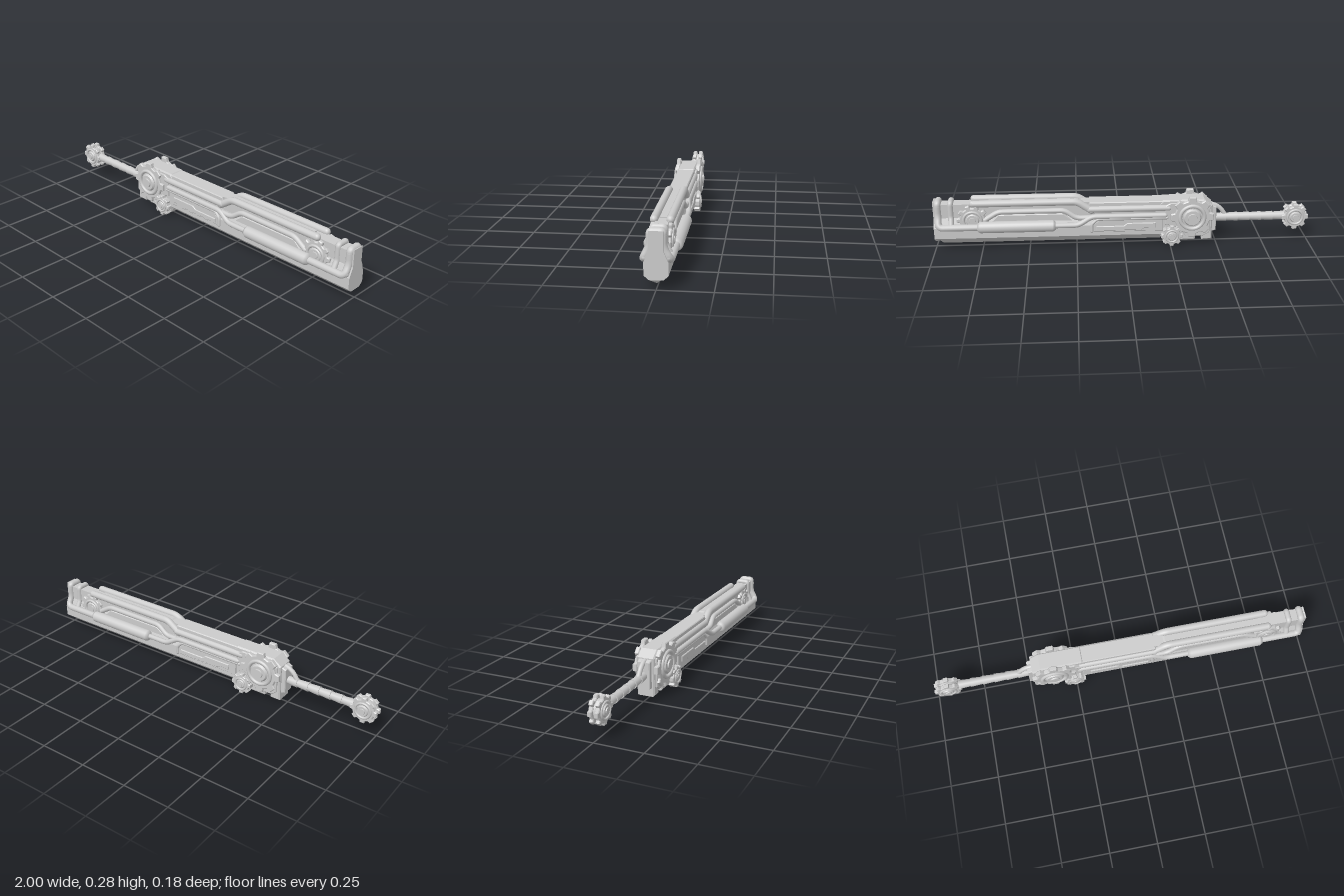
import * as THREE from 'three';

const mat = new THREE.MeshStandardMaterial({ color: 0xcccccc, side: THREE.DoubleSide });
const V = (x, y, z) => new THREE.Vector3(x, y, z);

function add(parent, name, geo, x = 0, y = 0, z = 0) {
  const m = new THREE.Mesh(geo, mat);
  m.name = name;
  m.position.set(x, y, z);
  parent.add(m);
  return m;
}

const polygon = pts => new THREE.Shape(pts.map(p => new THREE.Vector2(p[0], p[1])));

// Plate from an x/y outline, spanning z0..z1 with a small bevel
function plate(parent, name, pts, z0, z1, bevel = 0.004) {
  const geo = new THREE.ExtrudeGeometry(polygon(pts), {
    depth: z1 - z0 - 2 * bevel, bevelEnabled: bevel > 0,
    bevelSize: bevel, bevelOffset: -bevel, bevelThickness: bevel, bevelSegments: 1
  });
  return add(parent, name, geo, 0, 0, z0 + bevel);
}

// Pipe along straight runs joined by rounded corners, with domed ends
function pipe(parent, name, pts, r, bend = 0.025) {
  const path = new THREE.CurvePath();
  let from = pts[0];
  for (let i = 1; i < pts.length - 1; i++) {
    const a = pts[i - 1], b = pts[i], c = pts[i + 1];
    const d = Math.min(bend, a.distanceTo(b) * 0.45, b.distanceTo(c) * 0.45);
    const p = b.clone().add(a.clone().sub(b).setLength(d));
    const q = b.clone().add(c.clone().sub(b).setLength(d));
    path.add(new THREE.LineCurve3(from, p));
    path.add(new THREE.QuadraticBezierCurve3(p, b, q));
    from = q;
  }
  path.add(new THREE.LineCurve3(from, pts[pts.length - 1]));
  add(parent, name, new THREE.TubeGeometry(path, 120, r, 12, false));
  for (const e of [pts[0], pts[pts.length - 1]])
    add(parent, name + 'End', new THREE.SphereGeometry(r, 12, 8), e.x, e.y, e.z);
}

// Toothed wheel facing +z with a stepped hub; origin at its back face
function gear(name, r, thick, hub, teeth = 8) {
  const g = new THREE.Group();
  g.name = name;
  const pts = [];
  for (let i = 0; i < teeth; i++) {
    for (const [k, s] of [[-0.32, 0.82], [-0.2, 1], [0.2, 1], [0.32, 0.82]]) {
      const a = (i + k) / teeth * Math.PI * 2;
      pts.push([Math.cos(a) * r * s, Math.sin(a) * r * s]);
    }
  }
  plate(g, 'teeth', pts, 0, thick, Math.min(0.004, r * 0.05));
  add(g, 'rim', new THREE.TorusGeometry(r * 0.56, r * 0.09, 8, 32), 0, 0, thick);
  for (const [s, h] of [[0.42, 0.6], [0.24, 1]]) {
    const geo = new THREE.CylinderGeometry(r * s * 0.85, r * s, hub * h, 20).rotateX(Math.PI / 2);
    add(g, 'hub', geo, 0, 0, thick + hub * h / 2);
  }
  return g;
}

function placeGear(parent, g, x, y, z, s) {
  g.position.set(x, y, z * s);
  if (s < 0) g.rotation.y = Math.PI;
  parent.add(g);
}

export function createModel() {
  const root = new THREE.Group();
  root.name = 'mechanicalSword';

  // Blade: flared cross-section with a V-shaped edge, chamfered at the tip
  const half = [[0.032, 0.25], [0.032, 0.175], [0.054, 0.125], [0.054, 0.065], [0.031, 0.045]];
  const section = [...half, [0, 0.018], ...half.map(p => [-p[0], p[1]]).reverse()];
  const bladeGeo = new THREE.ExtrudeGeometry(polygon(section), { depth: 1.2, steps: 30, bevelEnabled: false });
  bladeGeo.rotateY(Math.PI / 2).translate(-0.2, 0, 0);
  const pos = bladeGeo.attributes.position;
  for (let i = 0; i < pos.count; i++) {
    if (pos.getX(i) < 0.99) continue;
    if (pos.getY(i) < 0.045) pos.setY(i, 0.045);
    if (pos.getY(i) > 0.24) pos.setY(i, 0.265);
  }
  bladeGeo.computeVertexNormals();
  add(root, 'blade', bladeGeo);

  // Spine cover over the rear half of the blade
  plate(root, 'spineCover', [[-0.22, 0.18], [0.15, 0.18], [0.19, 0.22], [0.18, 0.25], [-0.22, 0.25]], -0.045, 0.045);
  plate(root, 'spineRail', [[0.18, 0.22], [0.75, 0.22], [0.75, 0.255], [0.24, 0.255]], -0.02, 0.02);

  // Gear housing and its collar
  plate(root, 'housing', [[-0.475, 0.022], [-0.42, 0.022], [-0.42, 0.04], [-0.385, 0.04], [-0.385, 0.022],
    [-0.21, 0.022], [-0.19, 0.06], [-0.19, 0.235], [-0.21, 0.254], [-0.43, 0.254], [-0.475, 0.22]], -0.047, 0.047, 0.007);
  plate(root, 'collar', [[-0.498, 0.07], [-0.46, 0.06], [-0.46, 0.22], [-0.498, 0.205]], -0.034, 0.034);

  // Handle wrapped in overlapping sleeves
  const sleeves = 6, x0 = -0.87, len = 0.38 / sleeves;
  for (let i = 0; i < sleeves; i++) {
    const geo = new THREE.CylinderGeometry(0.02, 0.024, len, 16).rotateZ(-Math.PI / 2);
    add(root, 'handleSleeve', geo, x0 + len * (i + 0.5), 0.135, 0);
  }
  pipe(root, 'handleGuard', [V(-0.55, 0.145, 0), V(-0.525, 0.185, 0), V(-0.49, 0.208, 0), V(-0.45, 0.21, 0)], 0.012, 0.02);

  // Pommel: core wheel between two geared wheels
  add(root, 'pommelCore', new THREE.CylinderGeometry(0.052, 0.052, 0.04, 24).rotateX(Math.PI / 2), -0.928, 0.133, 0);

  for (const s of [1, -1]) {
    const P = (x, y, z) => V(x, y, z * s);
    const sidePlate = (name, pts, z0, z1) => plate(root, name, pts, s > 0 ? z0 : -z1, s > 0 ? z1 : -z0, 0.003);

    // Gears
    placeGear(root, gear('pommelGear', 0.072, 0.022, 0.013), -0.928, 0.133, 0.006, s);
    placeGear(root, gear('mainGear', 0.116, 0.024, 0.017), -0.364, 0.162, 0.045, s);
    placeGear(root, gear('smallGear', 0.058, 0.033, 0.007), -0.257, 0.058, 0.043, s);
    placeGear(root, gear('frontGear', 0.084, 0.02, 0.008, 10), 0.795, 0.165, 0.03, s);

    // Side armour on the housing
    sidePlate('housingPlate', [[-0.46, 0.07], [-0.43, 0.05], [-0.33, 0.05], [-0.3, 0.1], [-0.22, 0.12],
      [-0.22, 0.225], [-0.25, 0.24], [-0.43, 0.24], [-0.46, 0.215]], 0.04, 0.056);

    // Stepped rear panel with a raised inlay
    sidePlate('rearPanel', [[-0.21, 0.085], [0.16, 0.085], [0.16, 0.13], [0.13, 0.155], [-0.21, 0.155]], 0.035, 0.057);
    sidePlate('panelInlay', [[-0.17, 0.105], [-0.11, 0.105], [-0.09, 0.095], [0.145, 0.095], [0.145, 0.12],
      [0.0, 0.12], [-0.02, 0.135], [-0.17, 0.135]], 0.05, 0.063);
    pipe(root, 'panelRail', [P(-0.23, 0.158, 0.052), P(0.14, 0.158, 0.052), P(0.17, 0.13, 0.055), P(0.17, 0.09, 0.055)], 0.009, 0.012);

    // Upper pipe, stepping up over the front half
    pipe(root, 'rearPipe', [P(-0.24, 0.212, 0.043), P(0.18, 0.212, 0.043)], 0.018);
    pipe(root, 'upperPipe', [P(0.17, 0.205, 0.04), P(0.245, 0.255, 0.037), P(0.79, 0.255, 0.037)], 0.019);

    // Middle pipe ending at the front gear
    pipe(root, 'middlePipe', [P(0.18, 0.165, 0.045), P(0.25, 0.165, 0.045), P(0.31, 0.207, 0.038),
      P(0.66, 0.207, 0.038), P(0.73, 0.165, 0.043)], 0.014);
    sidePlate('middlePlate', [[0.27, 0.15], [0.7, 0.15], [0.66, 0.19], [0.32, 0.19]], 0.025, 0.044);

    // Pressure cylinder with its feed pipe
    pipe(root, 'feedPipe', [P(-0.22, 0.172, 0.05), P(0.17, 0.172, 0.05), P(0.24, 0.13, 0.06), P(0.38, 0.13, 0.06)], 0.014);
    const profile = [[0, -0.205], [0.022, -0.205], [0.031, -0.19], [0.031, 0.19], [0.022, 0.205], [0, 0.205]];
    const tank = new THREE.LatheGeometry(profile.map(p => new THREE.Vector2(p[0], p[1])), 24).rotateZ(-Math.PI / 2);
    add(root, 'pressureCylinder', tank, 0.565, 0.13, 0.06 * s);

    // Outlet pipe bending up the blade tip
    pipe(root, 'outletPipe', [P(0.75, 0.13, 0.06), P(0.975, 0.13, 0.06), P(0.975, 0.185, 0.029), P(0.975, 0.24, 0.029)], 0.018, 0.03);
  }

  // Pipe loops over the top of the blade tip
  for (const [x, r, y] of [[0.975, 0.018, 0.257], [0.908, 0.015, 0.257]])
    pipe(root, 'tipLoop', [V(x, 0.14, 0.05), V(x, 0.18, 0.029), V(x, y, 0.028), V(x, y, -0.028),
      V(x, 0.18, -0.029), V(x, 0.14, -0.05)], r, 0.012);

  return root;
}
